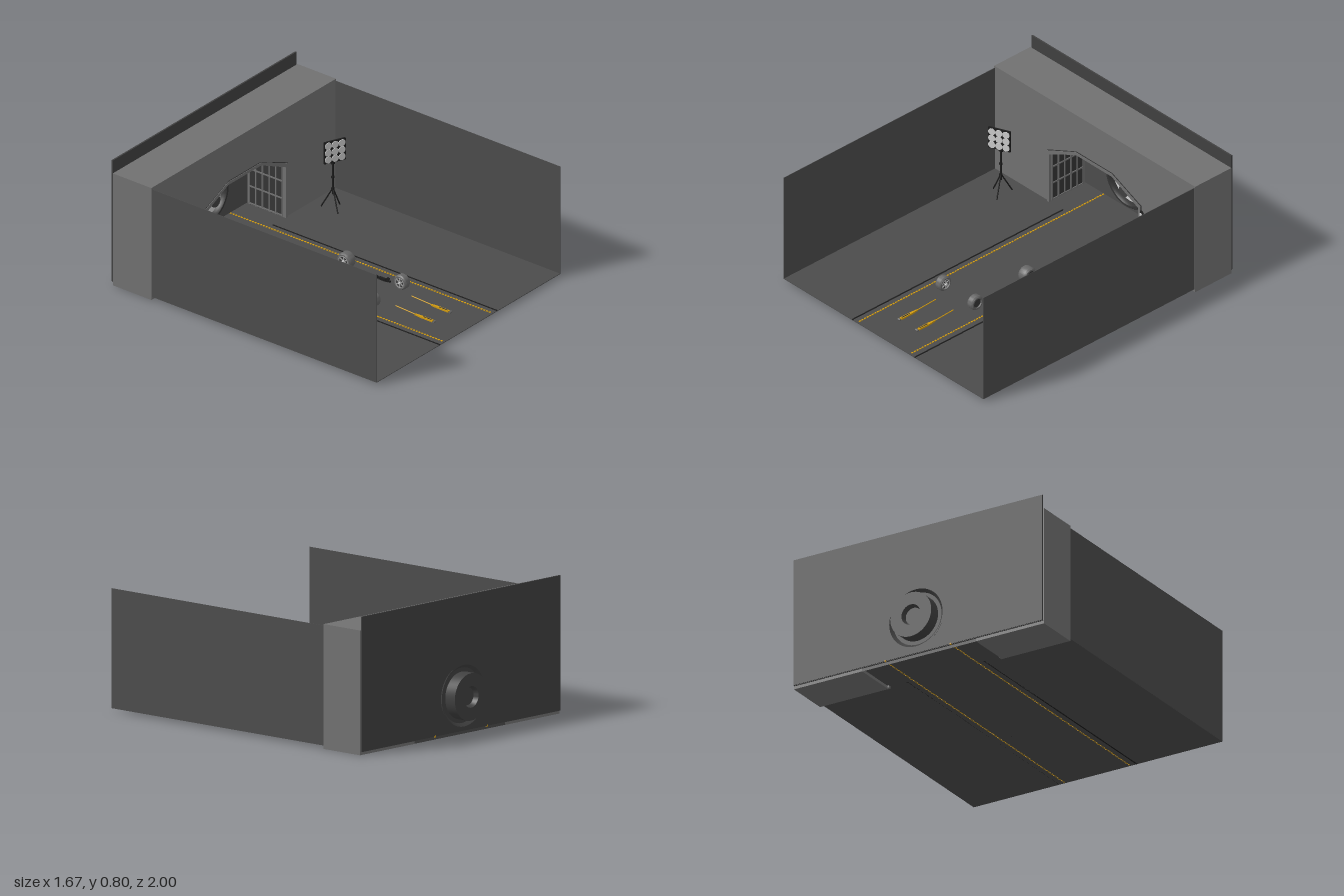
import * as THREE from 'three';
import { toCreasedNormals, mergeGeometries } from 'three/addons/utils/BufferGeometryUtils.js';

const mat = (name, color, side = THREE.DoubleSide) => {
  const m = new THREE.MeshStandardMaterial({ color, side });
  m.name = name;
  return m;
};

export function createModel() {
  const model = new THREE.Group();
  model.name = 'garageTunnel';
  const M = {
    concrete: mat('concreteGrey', 0x707070),
    floor: mat('asphaltGrey', 0x4b4b4b),
    wall: mat('endWallGrey', 0x404040),
    dark: mat('darkMetal', 0x343434),
    black: mat('black', 0x1c1c1c),
    light: mat('lampWhite', 0xcfcfcf),
    yellow: mat('markingYellow', 0xd09a10),
    tyre: mat('tyreGrey', 0x666666),
    rim: mat('rimGrey', 0x969696),
  };

  const add = (name, geo, material, x = 0, y = 0, z = 0, parent = model) => {
    const m = new THREE.Mesh(geo, material);
    m.name = name;
    m.position.set(x, y, z);
    parent.add(m);
    return m;
  };
  const box = (name, w, h, d, material, x, y, z, parent) =>
    add(name, new THREE.BoxGeometry(w, h, d), material, x, y, z, parent);
  const group = (name, x = 0, y = 0, z = 0, parent = model) => {
    const g = new THREE.Group();
    g.name = name;
    g.position.set(x, y, z);
    parent.add(g);
    return g;
  };
  const lathe = (pts, seg = 40) => toCreasedNormals(
    new THREE.LatheGeometry(pts.map(p => new THREE.Vector2(...p)), seg), 0.6);
  // round rod between two points
  const rod = (name, a, b, r, material, parent) => {
    const p = new THREE.Vector3(...a), q = new THREE.Vector3(...b);
    const d = q.clone().sub(p);
    const m = add(name, new THREE.CylinderGeometry(r, r, d.length(), 8), material, 0, 0, 0, parent);
    m.position.copy(p).lerp(q, 0.5);
    m.quaternion.setFromUnitVectors(new THREE.Vector3(0, 1, 0), d.normalize());
  };
  const shape = pts => new THREE.Shape(pts.map(p => new THREE.Vector2(...p)));
  const extrude = (s, depth) => new THREE.ExtrudeGeometry(s, { depth, bevelEnabled: false });

  // floor, side walls and end wall
  box('floor', 1.66, 0.004, 1.92, M.floor, 0, 0.02, 0.04);
  for (const s of [-1, 1]) box('sideWall', 0.003, 0.69, 1.63, M.floor, s * 0.829, 0.365, 0.185);
  box('endWall', 1.66, 0.78, 0.01, M.wall, 0, 0.41, -0.919);

  // portal block with an arched opening
  const arch = (w, dy) => [[-w, 0], [-w, 0.355 + dy], [-0.15, 0.46 + dy], [0.15, 0.46 + dy], [w, 0.355 + dy], [w, 0]];
  const block = shape([[-0.835, 0], ...arch(0.38, 0), [0.835, 0], [0.835, 0.72], [-0.835, 0.72]]);
  add('portalBlock', extrude(block, 0.28), M.concrete, 0, 0, -0.912);
  const trim = shape([...arch(0.388, 0.008), ...arch(0.37, -0.01).reverse()]);
  add('archTrim', extrude(trim, 0.02), M.concrete, 0, 0.004, -0.643);
  add('archEdge', extrude(shape([...arch(0.391, 0.011), ...arch(0.387, 0.007).reverse()]), 0.004),
    M.dark, 0, 0.004, -0.63);
  add('alcoveBack', new THREE.ShapeGeometry(shape(arch(0.38, 0))), M.floor, 0, 0, -0.91);

  // slatted panels on the inner sides of the opening
  for (const s of [-1, 1]) {
    const g = group('sidePanel', s * 0.376, 0, -0.77);
    box('panelBack', 0.004, 0.33, 0.25, M.dark, 0, 0.187, 0, g);
    for (let i = 0; i < 6; i++) box('panelSlat', 0.008, 0.33, 0.008, M.concrete, -s * 0.003, 0.187, -0.12 + i * 0.048, g);
    for (const y of [0.03, 0.14, 0.25, 0.345]) box('panelRail', 0.008, 0.008, 0.25, M.concrete, -s * 0.003, y, 0, g);
  }

  // fan: front ring, pale backing, blades and hub
  const fan = group('fan', 0, 0.228, -0.909);
  const ring = add('fanRing', lathe([[0.176, 0], [0.176, 0.02], [0.166, 0.035], [0.152, 0.035], [0.143, 0.02], [0.143, 0]], 48), M.dark, 0, 0, 0, fan);
  ring.rotation.x = Math.PI / 2;
  add('fanBacking', new THREE.CircleGeometry(0.145, 48), M.light, 0, 0, 0.004, fan);
  const blade = new THREE.Shape();
  blade.moveTo(0.03, -0.012);
  blade.bezierCurveTo(0.07, -0.05, 0.125, -0.05, 0.137, -0.008);
  blade.bezierCurveTo(0.14, 0.04, 0.08, 0.045, 0.03, 0.012);
  const bladeGeo = extrude(blade, 0.004);
  for (let i = 0; i < 5; i++) {
    const b = add('fanBlade', bladeGeo, M.wall, 0, 0, 0.014, fan);
    b.rotation.z = THREE.MathUtils.degToRad(104 - i * 72);
  }
  const hub = add('fanHub', lathe([[0.04, 0], [0.04, 0.02], [0.032, 0.028], [0.024, 0.028], [0.02, 0.022], [0, 0.022]], 24), M.dark, 0, 0, 0.005, fan);
  hub.rotation.x = Math.PI / 2;

  // fan housing behind the end wall
  const housing = add('fanHousing', lathe([[0.163, 0], [0.186, 0.03], [0.178, 0.03], [0.16, 0.012], [0.137, 0.012],
    [0.137, 0.085], [0.062, 0.085], [0.052, 0.055], [0, 0.055]], 48), M.wall, 0, 0.228, -0.915);
  housing.rotation.x = -Math.PI / 2;

  // lane seams and dotted yellow lines
  for (const s of [-1, 1]) {
    box('laneSeam', 0.009, 0.006, 1.63, M.black, s * 0.26, 0.021, 0.185);
    const dots = [];
    for (let z = -0.92; z < 0.995; z += 0.02)
      dots.push(new THREE.BoxGeometry(0.009, 0.009, 0.012).translate(s * 0.218, 0.021, z));
    add('laneDots', mergeGeometries(dots), M.yellow);
  }

  // floodlights on tripods, mirrored
  for (const s of [-1, 1]) {
    const g = group('floodlight', s * 0.605, 0, -0.47);
    for (const [x, z] of [[0.068, -0.005], [-0.015, -0.073], [-0.03, 0.06]])
      rod('tripodLeg', [0, 0.17, 0], [s * x, 0.035, z], 0.004, M.black, g);
    rod('tripodPole', [0, 0.13, 0], [0, 0.345, 0], 0.005, M.black, g);
    for (const y of [0.165, 0.24]) box('poleClamp', 0.014, 0.014, 0.014, M.black, 0, y, 0, g);
    box('lampBracket', 0.022, 0.022, 0.016, M.black, 0, 0.335, 0, g);
    const head = group('lampHead', 0, 0.412, 0.012, g);
    head.rotation.y = -s * 0.4;
    box('lampPanel', 0.138, 0.138, 0.012, M.black, 0, 0, 0, head);
    for (let i = 0; i < 9; i++)
      add('lamp', new THREE.CylinderGeometry(0.022, 0.022, 0.006, 20), M.light,
        (i % 3 - 1) * 0.044, (Math.floor(i / 3) - 1) * 0.044, 0.007, head).rotation.x = Math.PI / 2;
  }

  // loose wheels, rim face turned towards the given side
  const wheel = (x, z, r, w, side) => {
    const g = group('wheel', x, 0.021 + r, z);
    g.rotation.z = -side * Math.PI / 2;
    const h = w / 2, i = r * 0.66;
    add('tyre', lathe([[i, -h], [r * 0.86, -h], [r, -h * 0.65], [r, h * 0.65], [r * 0.86, h], [i, h], [i, -h]], 28), M.tyre, 0, 0, 0, g);
    add('rimBarrel', new THREE.CylinderGeometry(i, i, w * 0.6, 24), M.dark, 0, 0, 0, g);
    add('rimLip', new THREE.TorusGeometry(i, r * 0.05, 6, 28), M.rim, 0, h, 0, g).rotation.x = Math.PI / 2;
    for (let k = 0; k < 6; k++) {
      const a = k * Math.PI / 3;
      const spoke = box('spoke', i, 0.005, r * 0.14, M.rim, Math.cos(a) * i / 2, h * 0.85, -Math.sin(a) * i / 2, g);
      spoke.rotation.y = a;
    }
    add('wheelHub', new THREE.CylinderGeometry(r * 0.14, r * 0.18, 0.014, 12), M.light, 0, h, 0, g);
  };
  wheel(0.13, 0.01, 0.049, 0.06, -1);
  wheel(0.13, 0.413, 0.045, 0.046, -1);
  wheel(-0.135, 0.413, 0.045, 0.046, 1);

  // wheel gun lying on the floor
  const gun = group('wheelGun', 0.138, 0.03, 0.262);
  box('gunBody', 0.014, 0.016, 0.05, M.black, 0, 0, 0.005, gun);
  box('gunNose', 0.008, 0.01, 0.12, M.black, 0, 0, 0, gun);
  box('gunGrip', 0.01, 0.03, 0.016, M.black, 0.002, 0.004, 0.04, gun).rotation.x = 0.3;
  box('gunSocket', 0.013, 0.014, 0.02, M.black, 0, 0, -0.04, gun);

  // pair of floor jacks with long handles
  for (const s of [-1, 1]) {
    const g = group('floorJack', s * 0.073, 0.028, 0);
    rod('jackHandle', [0, 0.008, 0.53], [0, 0, 0.7], 0.003, M.yellow, g);
    const body = shape([[-0.003, -0.67], [0.003, -0.67], [0.008, -0.72], [0.008, -0.8], [-0.008, -0.8], [-0.008, -0.72]]);
    add('jackBody', extrude(body, 0.01), M.yellow, 0, -0.005, 0, g).rotation.x = -Math.PI / 2;
    box('jackSlot', 0.005, 0.003, 0.06, M.dark, 0, 0.005, 0.76, g);
    rod('jackRoller', [-0.009, 0, 0.81], [0.009, 0, 0.81], 0.007, M.tyre, g);
  }
  return model;
}
